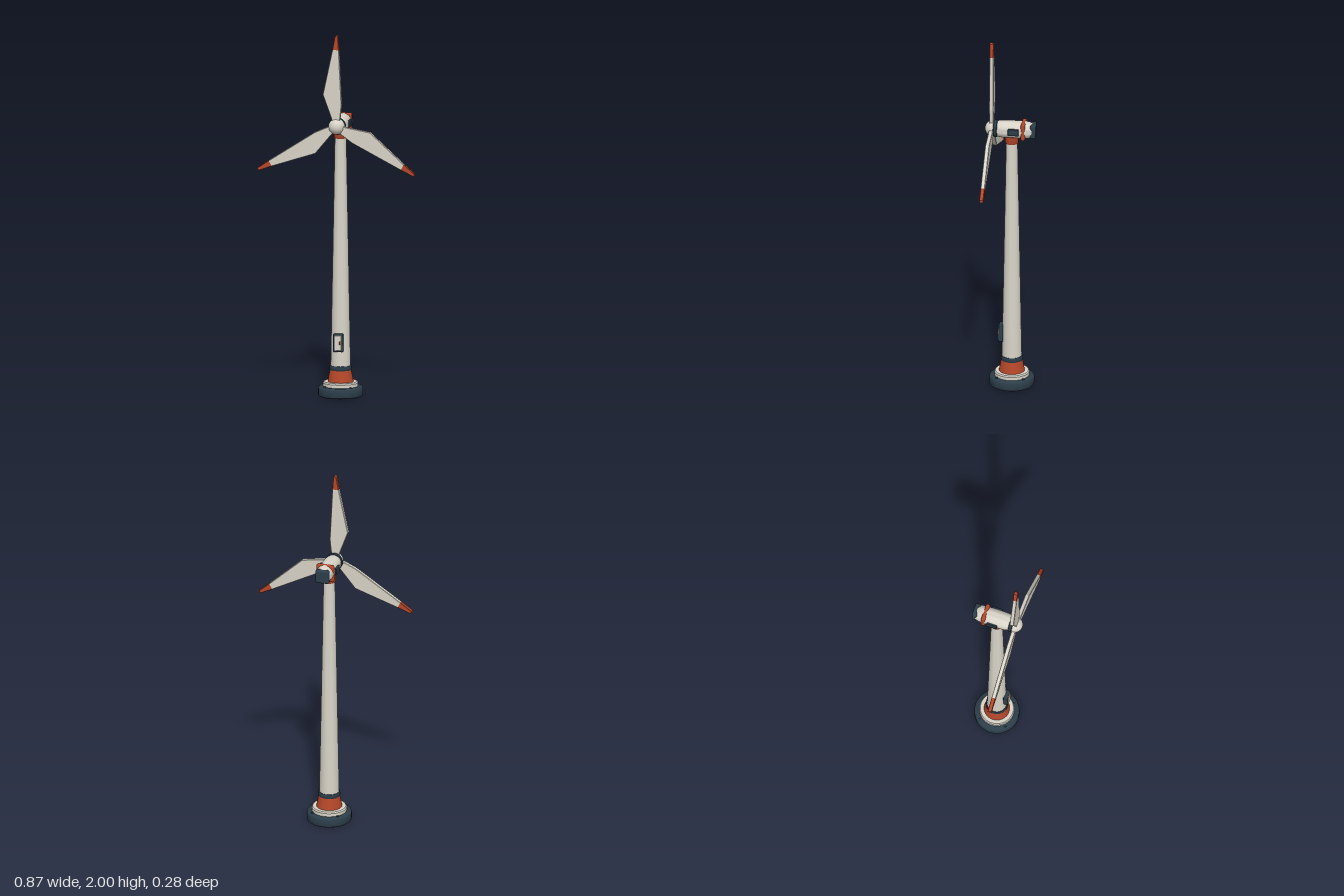
import * as THREE from 'three';
import { toCreasedNormals } from 'three/addons/utils/BufferGeometryUtils.js';
import { RoundedBoxGeometry } from 'three/addons/geometries/RoundedBoxGeometry.js';

const paint = (color) => new THREE.MeshStandardMaterial({ color });
const AXIS_Z = -0.007; // tower axis
const HUB_Y = 1.496;

export function createModel() {
  const white = paint(0xd8d4c8);
  const dark = paint(0x2c3e4a);
  const orange = paint(0xb5472a);
  const model = new THREE.Group();
  model.name = 'windTurbine';

  const add = (parent, name, geometry, material, x = 0, y = 0, z = 0) => {
    const mesh = new THREE.Mesh(geometry, material);
    mesh.name = name;
    mesh.position.set(x, y, z);
    parent.add(mesh);
    return mesh;
  };
  // Turned part from [radius, height] pairs, bottom to top
  const turned = (profile, segments = 32) => toCreasedNormals(
    new THREE.LatheGeometry(profile.map(([r, y]) => new THREE.Vector2(r, y)), segments), 0.6);
  const box = (w, h, d, r) => new RoundedBoxGeometry(w, h, d, 3, r);

  // Foundation and tower
  const tower = new THREE.Group();
  tower.name = 'towerAssembly';
  tower.position.z = AXIS_Z;
  model.add(tower);
  add(tower, 'foundation', turned([[0, 0], [0.114, 0], [0.12, 0.004], [0.122, 0.01],
    [0.122, 0.044], [0.119, 0.051], [0.113, 0.055], [0, 0.055]]), dark);
  add(tower, 'plinth', turned([[0, 0.05], [0.095, 0.05], [0.095, 0.073], [0.09, 0.08], [0, 0.08]]), white);
  add(tower, 'baseFlare', turned([[0, 0.078], [0.07, 0.078], [0.057, 0.147], [0, 0.147]]), orange);
  add(tower, 'baseBand', turned([[0, 0.143], [0.058, 0.143], [0.06, 0.147], [0.059, 0.164],
    [0.057, 0.168], [0, 0.168]]), dark);
  add(tower, 'towerShaft', turned([[0, 0.16], [0.054, 0.16], [0.031, 1.43], [0, 1.43]]), white);
  add(tower, 'yawCollar', turned([[0, 1.416], [0.034, 1.416], [0.037, 1.421], [0.037, 1.46], [0, 1.46]]), orange);

  // Foundation bolts
  for (const x of [-0.073, 0.073]) {
    for (const z of [-0.073, 0.073]) {
      add(tower, 'bolt', new THREE.CylinderGeometry(0.007, 0.007, 0.012, 12), dark, x, 0.054, z);
    }
  }

  // Entrance door
  const door = new THREE.Group();
  door.name = 'door';
  door.position.set(0, 0.3, 0.05);
  door.rotation.x = -0.018;
  model.add(door);
  add(door, 'doorFrame', box(0.055, 0.1, 0.026, 0.006), dark);
  add(door, 'doorPanel', box(0.04, 0.084, 0.012, 0.004), white, 0, 0, 0.01);
  add(door, 'doorHandle', box(0.008, 0.02, 0.008, 0.003), orange, 0.012, 0, 0.017);

  // Nacelle, lying along z
  const nacelle = new THREE.Group();
  nacelle.name = 'nacelle';
  nacelle.position.y = HUB_Y;
  model.add(nacelle);
  add(nacelle, 'nacelleBody', turned([[0, -0.126], [0.034, -0.126], [0.041, -0.115], [0.0455, -0.1],
    [0.0475, -0.08], [0.0485, -0.02], [0.0485, 0.03], [0.0465, 0.055], [0.042, 0.072], [0, 0.076]])
    .rotateX(Math.PI / 2), white);
  add(nacelle, 'nacelleBand', box(0.099, 0.099, 0.023, 0.0105), orange, 0, 0, -0.072);
  add(nacelle, 'rearCap', box(0.076, 0.076, 0.03, 0.01), dark, 0, 0, -0.124);
  add(nacelle, 'frontRing', turned([[0, 0.07], [0.044, 0.07], [0.047, 0.073], [0.047, 0.088],
    [0.044, 0.092], [0, 0.092]]).rotateX(Math.PI / 2), dark);
  for (const side of [-1, 1]) {
    add(nacelle, 'sideVent', box(0.014, 0.038, 0.058, 0.004), dark, side * 0.0475, 0, -0.02);
  }

  // Rotor: spinner and three blades
  const rotor = new THREE.Group();
  rotor.name = 'rotor';
  rotor.position.set(0, HUB_Y, 0.095);
  model.add(rotor);
  add(rotor, 'spinner', new THREE.SphereGeometry(0.0445, 32, 20), white);

  const slab = (points) => {
    const shape = new THREE.Shape(points.map(([x, y]) => new THREE.Vector2(x, y)));
    const bevel = 0.002;
    return new THREE.ExtrudeGeometry(shape, { depth: 0.018, bevelEnabled: true,
      bevelThickness: bevel, bevelSize: bevel, bevelOffset: -bevel, bevelSegments: 1 });
  };
  const bladeShape = slab([[-0.02, 0.02], [0.018, 0.02], [0.024, 0.06], [0.03, 0.12],
    [0.015, 0.424], [-0.02, 0.424], [-0.073, 0.175], [-0.027, 0.05]]);
  const tipShape = slab([[-0.0205, 0.42], [0.0155, 0.42], [0.01, 0.497], [0.004, 0.504], [-0.007, 0.496]]);
  for (let i = 0; i < 3; i++) {
    const blade = new THREE.Group();
    blade.name = 'blade';
    blade.rotation.z = i * Math.PI * 2 / 3;
    rotor.add(blade);
    add(blade, 'bladeBody', bladeShape, white, 0, 0, -0.002);
    add(blade, 'bladeTip', tipShape, orange, 0, 0, -0.002);
  }
  return model;
}
